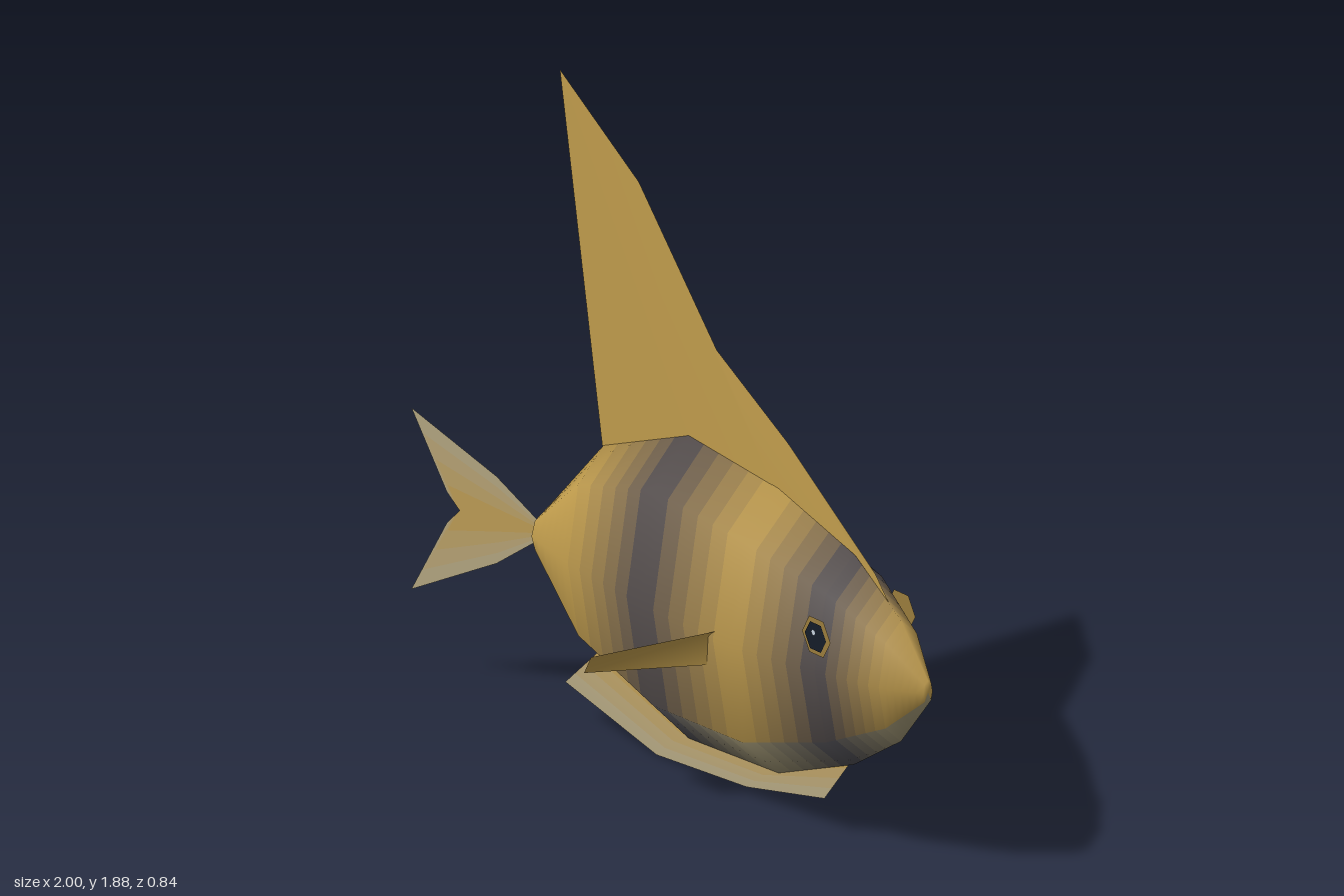
import * as THREE from 'three';

const GOLD = new THREE.Color(0xc09c4c);
const DARK = new THREE.Color(0x41424e);
const PALE = new THREE.Color(0xb3a988);
const BELLY = new THREE.Color(0x9c9270);
const SIDES = 8;
const STEPS = 6;

// Body rings: x, bottom y, top y, half width, centre z, stripe darkness
const RINGS = [
  [-0.59, 0.52, 0.52, 0, 0.043, 0],
  [-0.59, 0.46, 0.58, 0.042, 0.043, 0],
  [-0.37, 0.215, 0.835, 0.125, 0.015, 0],
  [-0.03, 0.085, 0.965, 0.178, -0.003, 1],
  [0.36, 0.11, 0.935, 0.178, 0.007, 0],
  [0.69, 0.24, 0.85, 0.138, 0.017, 1],
  [0.89, 0.37, 0.72, 0.078, 0.018, 0.1],
  [1.0, 0.51, 0.58, 0.016, 0.015, 0],
  [1.0, 0.545, 0.545, 0, 0.015, 0],
];

// Sideways bend of the spine, followed by the flat fins
const SPINE = [[-1, 0.165], [-0.74, 0.088], [-0.59, 0.043], [-0.37, 0.015],
  [-0.03, -0.003], [0.36, 0.007], [0.69, 0.017], [1, 0.015]];
function bend(x) {
  let i = 1;
  while (i < SPINE.length - 1 && x > SPINE[i][0]) i++;
  const [a, b] = [SPINE[i - 1], SPINE[i]];
  return THREE.MathUtils.mapLinear(x, a[0], b[0], a[1], b[1]);
}

function addMesh(parent, name, geometry, color, side = THREE.FrontSide) {
  const mesh = new THREE.Mesh(geometry, new THREE.MeshStandardMaterial({ color, side }));
  mesh.name = name;
  parent.add(mesh);
  return mesh;
}

// Triangles joining consecutive rings of n points, over columns from..to
function gridIndex(rows, n, from = 0, to = n) {
  const index = [];
  for (let i = 0; i < rows - 1; i++) {
    for (let j = from; j < to; j++) {
      const a = i * n + j, b = i * n + (j + 1) % n;
      index.push(a, b, a + n, b, b + n, a + n);
    }
  }
  return index;
}

function geometryOf(positions, index) {
  const g = new THREE.BufferGeometry();
  g.setAttribute('position', new THREE.Float32BufferAttribute(positions, 3));
  g.setIndex(index);
  return g;
}

// Body: one smooth hull cut into thin bands whose colours make the stripes
function makeBody() {
  const body = new THREE.Group();
  body.name = 'body';
  const points = [];
  for (const [x, low, high, half, z] of RINGS) {
    for (let j = 0; j < SIDES; j++) {
      const a = (j / SIDES) * Math.PI * 2;
      points.push(x, (low + high) / 2 + ((high - low) / 2) * Math.cos(a), z + half * Math.sin(a));
    }
  }
  const hull = geometryOf(points, gridIndex(RINGS.length, SIDES));
  hull.computeVertexNormals();
  const { position, normal } = hull.attributes;
  const ringAt = (attribute, i, t) => {
    const out = [];
    for (let j = 0; j < SIDES; j++) {
      const p = new THREE.Vector3().fromBufferAttribute(attribute, i * SIDES + j);
      p.lerp(new THREE.Vector3().fromBufferAttribute(attribute, (i + 1) * SIDES + j), t);
      out.push(p.x, p.y, p.z);
    }
    return out;
  };

  for (let i = 0; i < RINGS.length - 1; i++) {
    const isCap = i === 0 || i === RINGS.length - 2;
    const steps = isCap ? 1 : STEPS;
    for (let s = 0; s < steps; s++) {
      const t0 = s / steps, t1 = (s + 1) / steps;
      const dark = THREE.MathUtils.lerp(RINGS[i][5], RINGS[i + 1][5], (t0 + t1) / 2);
      for (const [name, from, to, base] of [
        ['flankLeft', 0, 3, GOLD], ['belly', 3, 5, BELLY], ['flankRight', 5, 8, GOLD]]) {
        const g = geometryOf([...ringAt(position, i, t0), ...ringAt(position, i, t1)],
          gridIndex(2, SIDES, from, to));
        g.setAttribute('normal', new THREE.Float32BufferAttribute(
          [...ringAt(normal, i, t0), ...ringAt(normal, i, t1)], 3));
        addMesh(body, `${name}Band`, g, base.clone().lerp(DARK, dark));
      }
    }
  }
  return body;
}

// Flat fin between an inner and an outer edge, fading in strips from root to rim
function makeFin(name, inner, outer, rootColor, rimColor, strips) {
  const fin = new THREE.Group();
  fin.name = name;
  const edge = (t) => inner.flatMap(([x, y], i) => {
    const px = THREE.MathUtils.lerp(x, outer[i][0], t);
    return [px, THREE.MathUtils.lerp(y, outer[i][1], t), bend(px)];
  });
  for (let s = 0; s < strips; s++) {
    const g = geometryOf([...edge(s / strips), ...edge((s + 1) / strips)],
      gridIndex(2, inner.length, 0, inner.length - 1));
    g.computeVertexNormals();
    const color = rootColor.clone().lerp(rimColor, (s + 0.5) / strips);
    addMesh(fin, `${name}Strip`, g, color, THREE.DoubleSide);
  }
  return fin;
}

export function createModel() {
  const fish = new THREE.Group();
  fish.name = 'fish';
  fish.add(makeBody());

  fish.add(makeFin('dorsalFin',
    [[-0.37, 0.8], [-0.03, 0.93], [0.36, 0.9], [0.69, 0.82], [0.89, 0.69]],
    [[-0.53, 1.88], [-0.23, 1.64], [0.09, 1.25], [0.4, 1.08], [0.78, 0.82]], GOLD, GOLD, 1));

  fish.add(makeFin('bellyFin',
    [[-0.37, 0.25], [-0.03, 0.12], [0.36, 0.14], [0.69, 0.26]],
    [[-0.51, 0.11], [-0.16, 0], [0.22, 0.025], [0.56, 0.1]], GOLD, PALE, 4));

  // Forked tail: two lobes mirrored about its centre line
  for (const [name, s] of [['upperTailLobe', 1], ['lowerTailLobe', -1]]) {
    const lobe = (pts) => pts.map(([x, y]) => [x, 0.523 + s * y]);
    fish.add(makeFin(name,
      lobe([[-0.58, 0], [-0.72, 0], [-0.85, 0], [-0.85, 0]]),
      lobe([[-0.58, 0.01], [-0.735, 0.126], [-1, 0.263], [-0.89, 0.045]]), GOLD, PALE, 4));
  }

  for (const s of [1, -1]) {
    const side = s > 0 ? 'right' : 'left';

    // Side fins sweep back and out
    const fin = geometryOf([0.31, 0.55, s * 0.17, 0.25, 0.43, s * 0.165,
      -0.065, 0.352, s * 0.335, 0.07, 0.462, s * 0.422],
    s > 0 ? [0, 2, 1, 0, 3, 2] : [0, 1, 2, 0, 2, 3]);
    fin.computeVertexNormals();
    addMesh(fish, `${side}SideFin`, fin, GOLD, THREE.DoubleSide);

    // Eyes: hexagonal rim, pupil and glint
    const eye = new THREE.Group();
    eye.name = `${side}Eye`;
    for (const [name, radius, color, x, y, z] of [
      ['rim', 0.06, 0x9a7c3c, 0, 0, 0],
      ['pupil', 0.045, 0x141c28, 0, 0, 0.003],
      ['glint', 0.009, 0xc8d4e0, -s * 0.006, 0.012, 0.006]]) {
      addMesh(eye, name, new THREE.CircleGeometry(radius, 6), color, THREE.DoubleSide)
        .position.set(x, y, z);
    }
    eye.position.set(0.71, 0.655, 0.017 + s * 0.148);
    if (s < 0) eye.rotation.y = Math.PI;
    fish.add(eye);
  }
  return fish;
}
